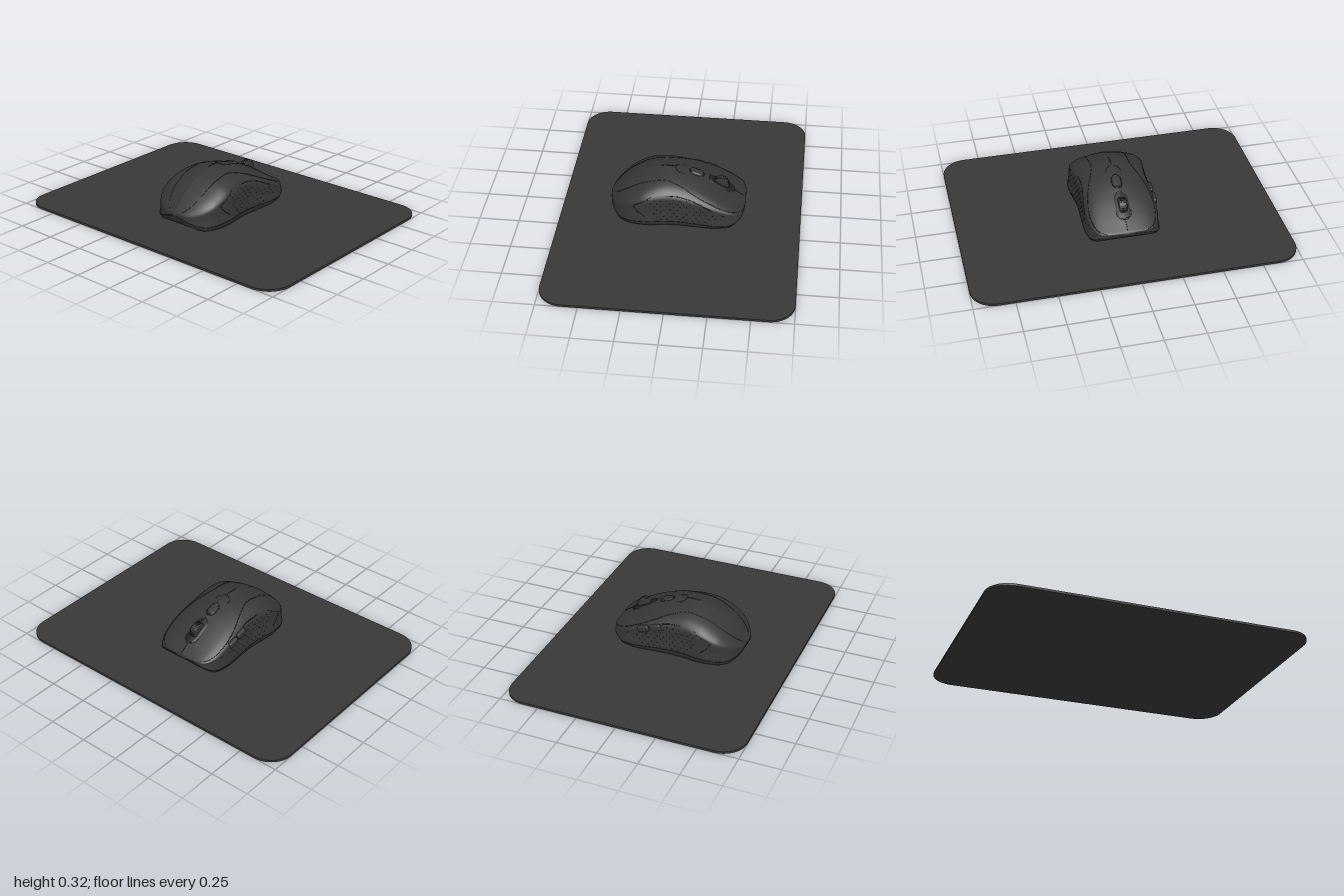
import * as THREE from 'three';
import { mergeGeometries } from 'three/addons/utils/BufferGeometryUtils.js';
import { RoundedBoxGeometry } from 'three/addons/geometries/RoundedBoxGeometry.js';

// Smooth monotone interpolation through [x, value] pairs
function spline(xs, ys) {
  const d = xs.slice(1).map((x, i) => (ys[i + 1] - ys[i]) / (x - xs[i]));
  const m = xs.map((_, i) => {
    const a = d[Math.max(i - 1, 0)], b = d[Math.min(i, d.length - 1)];
    return a * b <= 0 ? 0 : 2 * a * b / (a + b);
  });
  return (x) => {
    let i = 0;
    while (i < d.length - 1 && x > xs[i + 1]) i++;
    const h = xs[i + 1] - xs[i], t = THREE.MathUtils.clamp((x - xs[i]) / h, 0, 1), s = 1 - t;
    return ys[i] * s * s * (1 + 2 * t) + ys[i + 1] * t * t * (3 - 2 * t) + h * t * s * (m[i] * s - m[i + 1] * t);
  };
}

// Body stations along z: top height, half width and underside height
const Z = [-0.402, -0.396, -0.38, -0.34, -0.3, -0.2, -0.1, 0, 0.09, 0.2, 0.3, 0.36, 0.41, 0.435, 0.447];
const top = spline(Z, [0.108, 0.118, 0.13, 0.158, 0.184, 0.24, 0.284, 0.312, 0.322, 0.299, 0.245, 0.2, 0.15, 0.123, 0.106]);
const wide = spline(Z, [0, 0.11, 0.17, 0.205, 0.222, 0.235, 0.231, 0.227, 0.232, 0.245, 0.232, 0.198, 0.138, 0.08, 0]);
const under = spline(Z, [0.104, 0.092, 0.07, 0.035, 0.018, 0.012, 0.012, 0.012, 0.012, 0.012, 0.012, 0.013, 0.035, 0.065, 0.1]);
// Cross-section from the ridge (0) round to the middle of the underside (1)
const U = [0, 1, 2, 3, 4, 5, 6, 7].map((i) => i / 7);
const across = spline(U, [0, 0.4, 0.77, 0.95, 0.97, 1, 0.85, 0]);
const drop = spline(U, [0, 0.06, 0.17, 0.34, 0.6, 0.84, 1, 1]);
const seamU = spline([-0.402, -0.3, -0.16, 0, 0.09, 0.25, 0.447], [0.36, 0.36, 0.33, 0.23, 0.185, 0.175, 0.19]);
const SKIRT = 5 / 7;

function surface(z, u, side = 1) {
  const t = top(z);
  return new THREE.Vector3(side * wide(z) * across(u), t - (t - under(z)) * drop(u), z);
}
function solve(test, hi) {
  let lo = 0;
  for (let i = 0; i < 24; i++) {
    const mid = (lo + hi) / 2;
    if (test(mid)) lo = mid; else hi = mid;
  }
  return lo;
}
// Points on the body found from (x, z) on top or (z, y) on a side
const onTop = (x, z) => surface(z, solve((u) => wide(z) * across(u) < Math.abs(x), 0.5), Math.sign(x) || 1);
const onSide = (z, y, side) => surface(z, solve((u) => surface(z, u).y > y, SKIRT), side);

// Grid of points f(s, t), s and t from 0 to 1
function grid(f, ns, nt, flip) {
  const pos = [], idx = [];
  for (let i = 0; i <= ns; i++) for (let j = 0; j <= nt; j++) pos.push(...f(i / ns, j / nt).toArray());
  for (let i = 0; i < ns; i++) for (let j = 0; j < nt; j++) {
    const a = i * (nt + 1) + j, b = a + nt + 1;
    if (flip) idx.push(a, a + 1, b, b, a + 1, b + 1);
    else idx.push(a, b, a + 1, b, b + 1, a + 1);
  }
  const g = new THREE.BufferGeometry();
  g.setAttribute('position', new THREE.Float32BufferAttribute(pos, 3));
  g.setIndex(idx);
  g.computeVertexNormals();
  return g;
}
const zAt = (s) => -0.402 + 0.849 * (1 - Math.cos(Math.PI * s)) / 2;

export function createModel() {
  const model = new THREE.Group();
  const mouse = new THREE.Group();
  mouse.name = 'mouse';
  const mat = (name, color) => {
    const m = new THREE.MeshStandardMaterial({ color });
    m.name = name;
    return m;
  };
  const padMat = mat('charcoal cloth', 0x383838);
  const shellMat = mat('dark grey plastic', 0x363636);
  const darkMat = mat('black rubber', 0x1f1f1f);
  const add = (name, geometry, material, parent = mouse) => {
    const mesh = new THREE.Mesh(geometry, material);
    mesh.name = name;
    parent.add(mesh);
    return mesh;
  };

  // Mouse pad
  const W = 1, D = 0.75, R = 0.15, pad = new THREE.Shape();
  pad.absarc(W - R, D - R, R, 0, Math.PI / 2);
  pad.absarc(R - W, D - R, R, Math.PI / 2, Math.PI);
  pad.absarc(R - W, R - D, R, Math.PI, Math.PI * 1.5);
  pad.absarc(W - R, R - D, R, Math.PI * 1.5, Math.PI * 2);
  const padGeo = new THREE.ExtrudeGeometry(pad, { depth: 0.014, bevelEnabled: false, curveSegments: 10 });
  add('mousePad', padGeo.rotateX(-Math.PI / 2), padMat, model);

  // Body: top cover, side grips and base skirt
  add('topCover', grid((s, t) => {
    const z = zAt(s), v = t * 2 - 1;
    return surface(z, Math.abs(v) * seamU(z), v < 0 ? -1 : 1);
  }, 72, 28), shellMat);
  for (const side of [-1, 1]) {
    add('sideGrip', grid((s, t) => {
      const z = zAt(s);
      return surface(z, THREE.MathUtils.lerp(seamU(z), SKIRT, t), side);
    }, 72, 18, side < 0), shellMat);
    add('baseSkirt', grid((s, t) => surface(zAt(s), THREE.MathUtils.lerp(SKIRT, 1, t), side), 72, 12, side < 0), shellMat);
  }

  // Seams drawn as fine tubes sunk in the surface
  const seam = (name, pts, closed = false, r = 0.0022) =>
    add(name, new THREE.TubeGeometry(new THREE.CatmullRomCurve3(pts, closed), pts.length * 2, r, 5, closed), darkMat);
  const steps = (n, f) => Array.from({ length: n + 1 }, (_, i) => f(i / n));
  for (const side of [-1, 1]) {
    seam('coverSeam', steps(30, (t) => {
      const z = THREE.MathUtils.lerp(-0.39, 0.43, t);
      return surface(z, seamU(z), side);
    }));
    seam('skirtSeam', steps(40, (t) => surface(zAt(0.03 + 0.94 * t), SKIRT, side)), false, 0.0018);
    const sideLines = [
      [[0.08, 0.24], [0, 0.235], [-0.08, 0.215], [-0.18, 0.17], [-0.28, 0.115]],
      [[0.17, 0.23], [0.22, 0.2], [0.28, 0.165]],
      [[0.28, 0.165], [0.25, 0.125], [0.21, 0.095]],
    ];
    for (const line of sideLines) seam('gripLine', line.map(([z, y]) => onSide(z, y, side)));

    // Dimples on the grips
    const dots = [];
    for (let r = 0; r < 7; r++) for (let c = 0; c < 11; c++) {
      const z = 0.19 - c * 0.04 - (r % 2) * 0.02, y = 0.212 - r * 0.023;
      if (y > 0.235 + z * 0.45 || z > 0.1 + y * 0.5 || (z < -0.2 && y < 0.09)) continue;
      const p = onSide(z, y, side);
      dots.push(new THREE.SphereGeometry(0.004, 6, 4).scale(0.5, 1, 1).translate(p.x, p.y, p.z));
    }
    add('gripDimples', mergeGeometries(dots), darkMat);
  }

  // Rounded strips that follow the ridge, raised by lift
  const strip = (name, z0, z1, hw, lift, material) => add(name, grid((s, t) => {
    const z = THREE.MathUtils.lerp(z0, z1, (1 - Math.cos(Math.PI * s)) / 2);
    const e = Math.max(0, hw - Math.min(z - z0, z1 - z)), v = t * 2 - 1;
    const x = v * Math.sqrt(Math.max(0, hw * hw - e * e));
    const p = onTop(x, z);
    const edge = Math.hypot(x, e) / hw;
    p.y += edge > 0.98 ? -0.001 : lift;
    return p;
  }, 32, 12), material);
  strip('wheelSlot', -0.325, -0.165, 0.044, 0.003, darkMat);
  strip('speedButton', -0.137, -0.05, 0.029, 0.009, shellMat);
  const outline = (z0, z1, hw) => steps(39, (t) => {
    const a = t * 39 / 40 * Math.PI * 2, c = Math.cos(a);
    const z = c > 0 ? z1 - hw + hw * c : z0 + hw + hw * c;
    return onTop(hw * Math.sin(a), z);
  });
  seam('consoleSeam', outline(-0.33, 0.04, 0.046), true);
  seam('buttonSeam', outline(-0.139, -0.048, 0.031), true);
  seam('splitSeam', steps(5, (t) => onTop(0, 0.04 + 0.09 * t)));
  seam('noseSplit', steps(5, (t) => onTop(0, -0.33 - 0.06 * t)));

  // Scroll wheel with ribs
  const wheel = new THREE.Group();
  wheel.name = 'scrollWheel';
  wheel.position.set(0, 0.207, -0.243);
  const rim = [[0, -0.024], [0.042, -0.024], [0.05, -0.017], [0.05, 0.017], [0.042, 0.024], [0, 0.024]];
  add('wheelTyre', new THREE.LatheGeometry(rim.map(([x, y]) => new THREE.Vector2(x, y)), 32).rotateZ(Math.PI / 2), shellMat, wheel);
  for (let i = 0; i < 24; i++) {
    const a = i / 24 * Math.PI * 2;
    const rib = add('wheelRib', new THREE.BoxGeometry(0.03, 0.004, 0.005), darkMat, wheel);
    rib.position.set(0, Math.cos(a) * 0.05, Math.sin(a) * 0.05);
    rib.rotation.x = a;
  }
  mouse.add(wheel);

  // Thumb buttons on the model's right
  for (const [z, y] of [[-0.165, 0.172], [-0.085, 0.195]]) {
    const b = add('thumbButton', new RoundedBoxGeometry(0.03, 0.042, 0.074, 3, 0.012), shellMat);
    b.position.copy(onSide(z, y, -1)).x += 0.003;
    b.rotation.x = -0.25;
  }

  model.add(mouse);
  return model;
}
